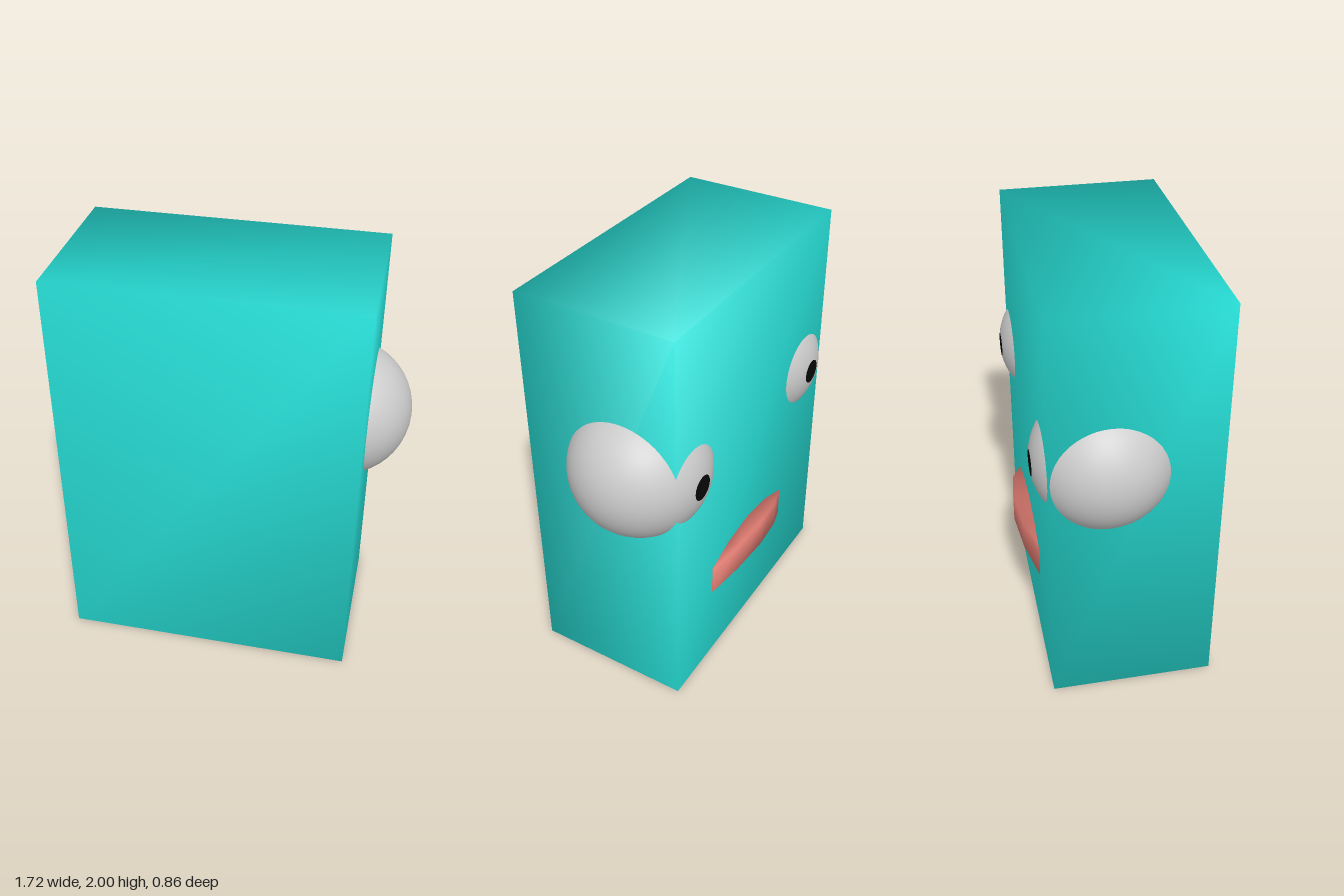
import * as THREE from 'three';
import { mergeVertices } from 'three/addons/utils/BufferGeometryUtils.js';

// Share corner vertices so normals blend smoothly across edges
function smooth(geometry) {
  geometry.deleteAttribute('normal');
  geometry.deleteAttribute('uv');
  const merged = mergeVertices(geometry);
  merged.computeVertexNormals();
  return merged;
}

function makeMesh(name, geometry, color) {
  const mesh = new THREE.Mesh(geometry, new THREE.MeshStandardMaterial({ color }));
  mesh.name = name;
  return mesh;
}

// Eyeball with its tip cut off, closed by a flat pupil facing the back
function makeEye(name, x) {
  const radius = 0.325, pupilRadius = 0.06;
  const cut = Math.asin(pupilRadius / radius);
  const eye = new THREE.Group();
  eye.name = name;
  const ball = new THREE.SphereGeometry(radius, 48, 32, 0, Math.PI * 2, cut, Math.PI - cut);
  ball.rotateX(-Math.PI / 2);
  const disc = new THREE.CircleGeometry(pupilRadius, 32);
  disc.rotateY(Math.PI);
  disc.translate(0, 0, -radius * Math.cos(cut));
  eye.add(makeMesh('eyeball', ball, 0xcccccc), makeMesh('pupil', disc, 0x080808));
  eye.position.set(x, 1.22, -0.08);
  return eye;
}

// Bar bent into a frown that bulges outwards in the middle
function makeMouth() {
  const bar = new THREE.BoxGeometry(0.7, 0.15, 1, 4, 1, 1);
  const p = bar.attributes.position;
  for (let i = 0; i < p.count; i++) {
    const x = p.getX(i) * (Math.abs(p.getX(i)) < 0.3 ? 1.12 : 1);
    const bend = (x / 0.35) ** 2;
    const z = p.getZ(i) < 0 ? -0.43 + 0.075 * bend : -0.33;
    p.setXYZ(i, x, p.getY(i) + 0.565 - 0.08 * bend, z);
  }
  return makeMesh('mouth', smooth(bar), 0xe07c72);
}

export function createModel() {
  const model = new THREE.Group();
  model.name = 'blockHead';

  // Block body, slightly off centre
  const block = smooth(new THREE.BoxGeometry(1.405, 2, 0.775));
  block.translate(-0.0275, 1, 0.0375);
  model.add(makeMesh('body', block, 0x28e4dc));

  model.add(makeEye('leftEye', 0.537), makeEye('rightEye', -0.537), makeMouth());
  return model;
}
